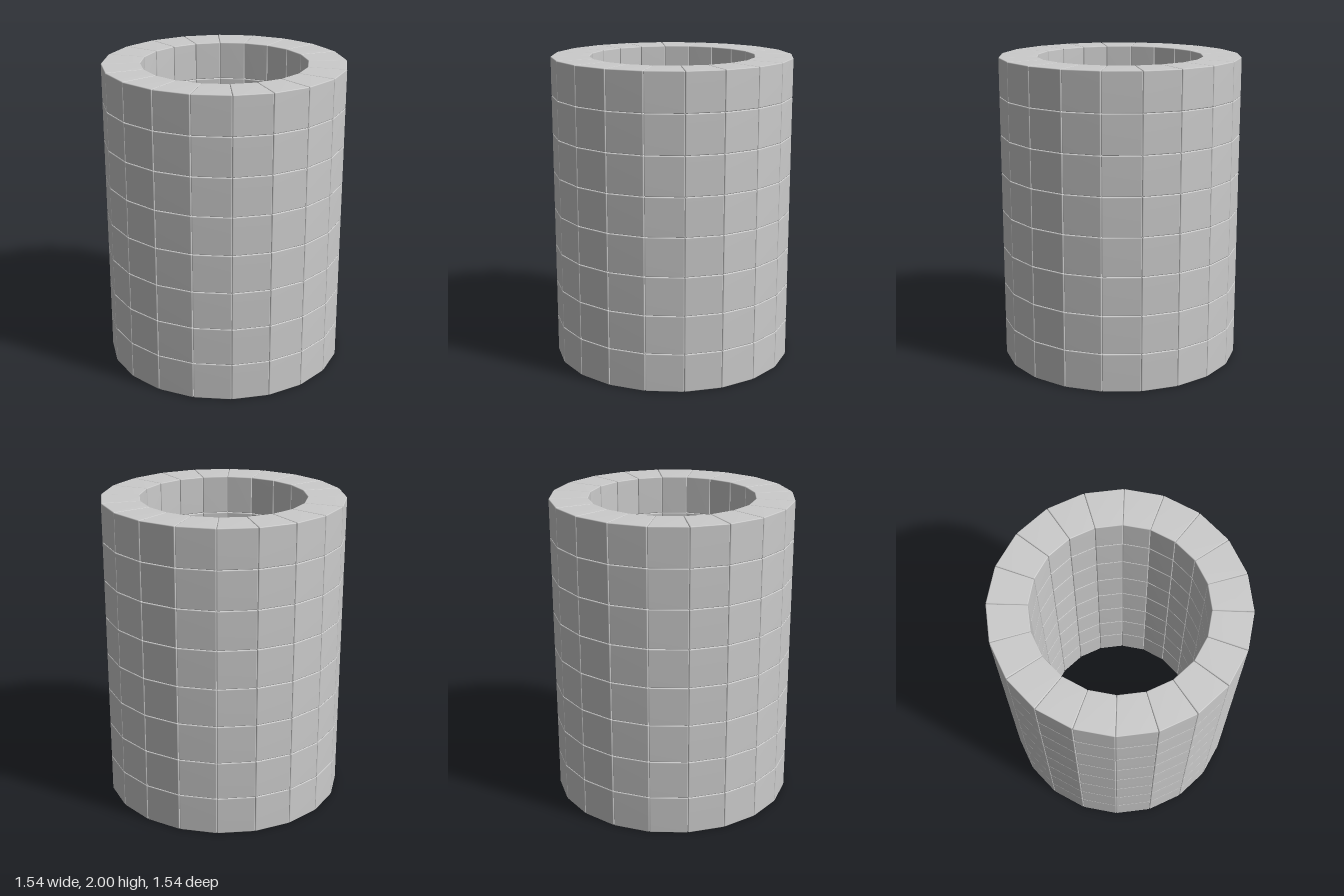
import * as THREE from 'three';
import { mergeVertices } from 'three/addons/utils/BufferGeometryUtils.js';
import { RoundedBoxGeometry } from 'three/addons/geometries/RoundedBoxGeometry.js';

const COURSES = 8, STONES = 20;
const INNER = 0.527, OUTER = 0.772; // distance to the flat faces
const HEIGHT = 2 / COURSES;

// Wedge-shaped stone with softened edges, narrowing toward the ring centre
function stoneGeometry() {
  const mid = (INNER + OUTER) / 2;
  const width = 2 * mid * Math.tan(Math.PI / STONES) - 0.001;
  let geo = new RoundedBoxGeometry(width, HEIGHT - 0.001, OUTER - INNER, 1, 0.006);
  const p = geo.attributes.position;
  for (let i = 0; i < p.count; i++) {
    p.setX(i, p.getX(i) * (mid + p.getZ(i)) / mid);
  }
  geo.translate(0, HEIGHT / 2, mid);
  geo.deleteAttribute('normal');
  geo.deleteAttribute('uv');
  geo = mergeVertices(geo, 1e-5);
  geo.computeVertexNormals();
  return geo;
}

export function createModel() {
  const model = new THREE.Group();
  model.name = 'stoneWell';
  const material = new THREE.MeshStandardMaterial({ color: 0xcccccc });
  const geometry = stoneGeometry();

  // Stacked rings of stones with aligned joints
  for (let row = 0; row < COURSES; row++) {
    const course = new THREE.Group();
    course.name = `course${row + 1}`;
    course.position.y = row * HEIGHT;
    for (let i = 0; i < STONES; i++) {
      const stone = new THREE.Mesh(geometry, material);
      stone.name = `stone${i + 1}`;
      stone.rotation.y = (i / STONES) * Math.PI * 2;
      course.add(stone);
    }
    model.add(course);
  }
  return model;
}
